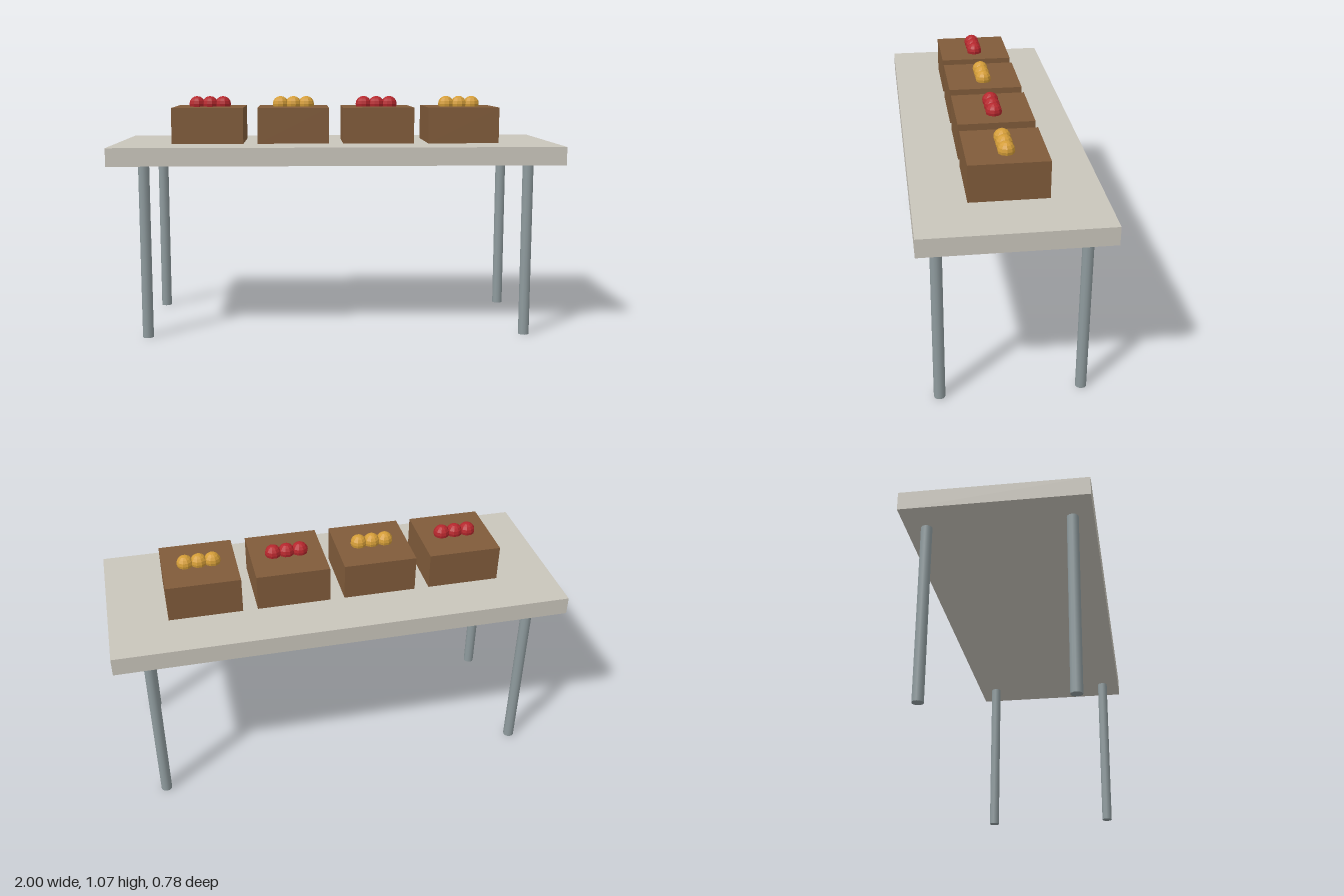
import * as THREE from 'three';

const mat = (name, color, flatShading = false) => {
  const m = new THREE.MeshStandardMaterial({ color, flatShading });
  m.name = name;
  return m;
};

export function createModel() {
  const stone = mat('paleStone', 0xc9c5bb);
  const metal = mat('greyMetal', 0x8f9b9e);
  const wood = mat('brownWood', 0x805b3a);
  const red = mat('redFruit', 0xb5272d, true);
  const gold = mat('goldenFruit', 0xd49d38, true);

  const model = new THREE.Group();
  model.name = 'marketTable';
  const add = (name, geometry, material, x, y, z, parent = model) => {
    const mesh = new THREE.Mesh(geometry, material);
    mesh.name = name;
    mesh.position.set(x, y, z);
    parent.add(mesh);
  };

  // Table top
  add('tableTop', new THREE.BoxGeometry(2, 0.08, 0.776), stone, 0, 0.818, 0);

  // Four round legs
  const legGeo = new THREE.CylinderGeometry(0.0245, 0.0245, 0.778, 12);
  for (const x of [-0.85, 0.85])
    for (const z of [-0.302, 0.302]) add('tableLeg', legGeo, metal, x, 0.389, z);

  // Row of crates, each with three fruits half sunk in its top
  const crateGeo = new THREE.BoxGeometry(0.323, 0.162, 0.331);
  const fruitGeo = new THREE.SphereGeometry(0.0365, 10, 8);
  for (let i = 0; i < 4; i++) {
    const stall = new THREE.Group();
    stall.name = 'fruitCrate';
    stall.position.x = (i - 1.5) * 0.388;
    add('crate', crateGeo, wood, 0, 0.939, 0, stall);
    for (const dx of [-0.06, 0, 0.06])
      add('fruit', fruitGeo, i % 2 ? gold : red, dx, 1.032, 0, stall);
    model.add(stall);
  }
  return model;
}
